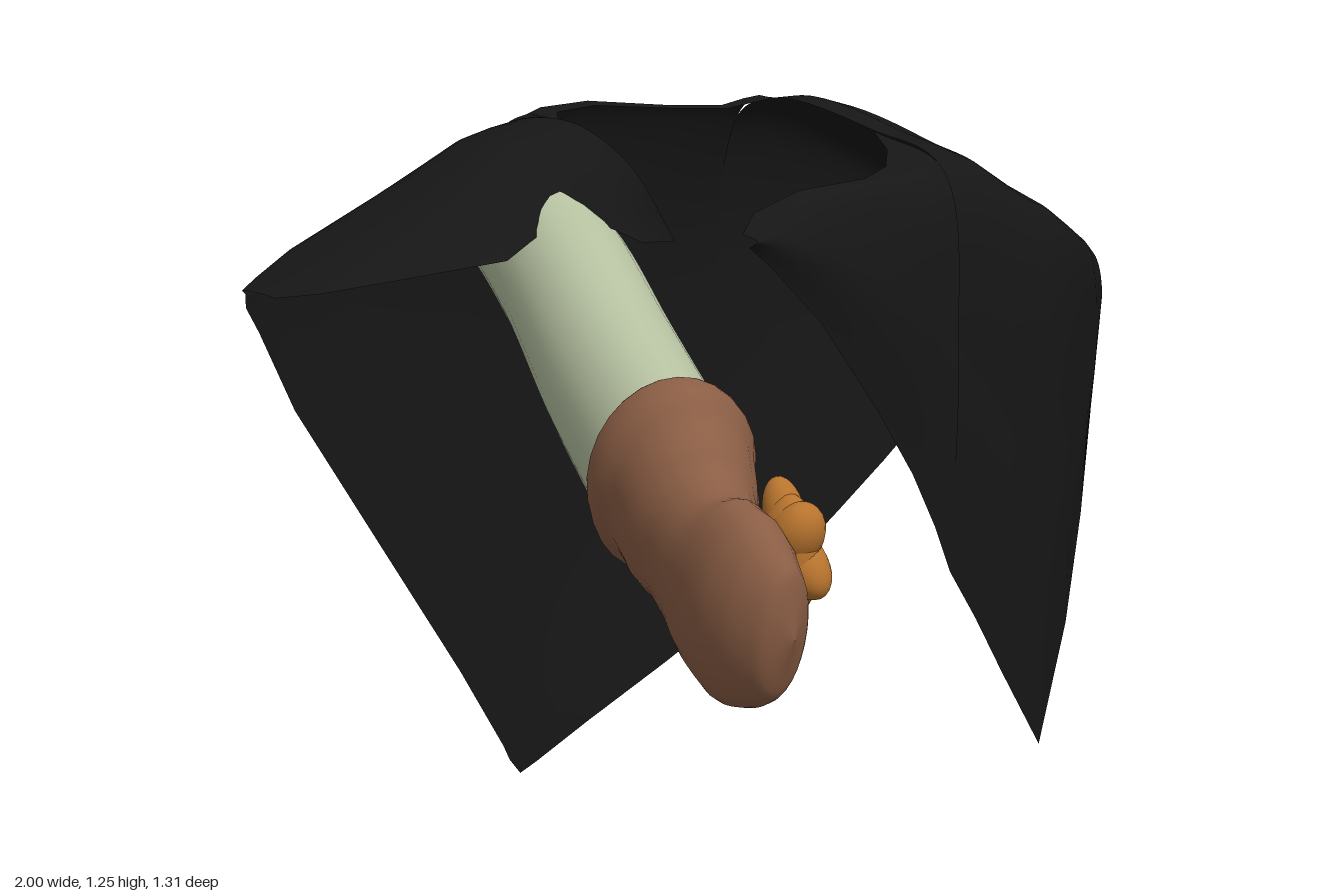
import * as THREE from 'three';

const V = (x, y, z) => new THREE.Vector3(x, y, z);
const lerp = THREE.MathUtils.lerp;
const material = (color) => new THREE.MeshStandardMaterial({ color, side: THREE.DoubleSide });
const cloth = material(0x161616);
const sleeve = material(0xb5c0a0);
const leather = material(0x8b5e45);
const orange = material(0xb8742e);

// Skin a list of equally long point rows; closed rows wrap round into tubes.
function skin(rows, closed) {
  const n = rows[0].length, index = [];
  for (let i = 0; i < rows.length - 1; i++) {
    for (let j = 0; j < (closed ? n : n - 1); j++) {
      const k = (j + 1) % n;
      const a = i * n + j, b = a + n, c = i * n + k, d = c + n;
      index.push(a, b, c, b, d, c);
    }
  }
  const g = new THREE.BufferGeometry().setFromPoints(rows.flat());
  g.setIndex(index);
  g.computeVertexNormals();
  return g;
}

function add(parent, name, geometry, mat) {
  const m = new THREE.Mesh(geometry, mat);
  m.name = name;
  parent.add(m);
  return m;
}

// Cloth from stations along x; the rule turns each into a [y, z] section
function drape(stations, rule) {
  return skin(stations.map((s) => {
    const pts = rule(...s).map(([y, z]) => V(s[0], y, z));
    return new THREE.CatmullRomCurve3(pts).getPoints((pts.length - 1) * 8);
  }), false);
}

// Rear face of the cloth, from the hem to just below the ridge; it pinches at the shoulder folds
function rearFace(x, hem, top) {
  const h = top - hem;
  const z = lerp(-0.49, -0.555, Math.sqrt(Math.min(1, h / 0.25)));
  const bulge = Math.min(1, h / 0.9) * (0.055 + 0.045 * Math.min(x, 0.25));
  return [
    [hem, z],
    [hem + 0.4 * h, z - bulge * 0.85],
    [hem + 0.78 * h, z - bulge],
    [top - 0.04 * h, z - 0.01],
  ];
}

// Over the shoulder and down to the front hem
function shoulderSection(x, hem, top, frontHem, frontZ) {
  const g = top - frontHem;
  return [
    ...rearFace(x, hem, top),
    [top, -0.46],
    [top - 0.05 * g, lerp(-0.46, frontZ, 0.56)],
    [top - 0.12 * g, lerp(-0.46, frontZ, 0.95)],
    [top - 0.57 * g, frontZ + 0.015],
    [frontHem, frontZ],
  ];
}

// Over the ridge to a free rim
function backSection(x, hem, top, rimY, rimZ) {
  const ridgeZ = lerp(-0.55, rimZ, 0.4);
  return [
    ...rearFace(x, hem, top),
    [top, ridgeZ],
    [lerp(top, rimY, 0.35), lerp(ridgeZ, rimZ, 0.6)],
    [rimY, rimZ],
  ];
}

// From the neck edge over the collar fold to the hem
function frontSection(x, rim, rimZ, hem, hemZ) {
  return [
    [rim, rimZ],
    [lerp(rim, hem, 0.08), hemZ - 0.015],
    [lerp(rim, hem, 0.5), hemZ + 0.02],
    [hem, hemZ],
  ];
}

// Limb from rings: [x, y, z, half width, half height]
function limb(rings, steps = 40, sides = 28) {
  const path = new THREE.CatmullRomCurve3(rings.map((r) => V(r[0], r[1], r[2])));
  const size = new THREE.CatmullRomCurve3(rings.map((r) => V(r[3], r[4], 0)));
  const rows = [];
  for (let i = 0; i <= steps; i++) {
    const c = path.getPoint(i / steps), s = size.getPoint(i / steps);
    const d = path.getTangent(i / steps);
    const side = d.clone().cross(V(0, 1, 0)).normalize();
    const up = side.clone().cross(d);
    rows.push(Array.from({ length: sides }, (_, j) => {
      const a = (j / sides) * Math.PI * 2;
      return c.clone().addScaledVector(side, Math.cos(a) * s.x).addScaledVector(up, Math.sin(a) * s.y);
    }));
  }
  return skin(rows, true);
}

export function createModel() {
  const model = new THREE.Group();
  const cape = new THREE.Group();
  cape.name = 'cape';
  const arm = new THREE.Group();
  arm.name = 'arm';
  model.add(cape, arm);

  // Left shoulder: [x, back hem, ridge, front hem, front z]
  add(cape, 'leftShoulderDrape', drape([
    [0.21, 0.24, 1.23, 0.38, 0],
    [0.28, 0.27, 1.23, 0.28, 0],
    [0.36, 0.31, 1.21, 0.16, -0.005],
    [0.47, 0.38, 1.16, 0, -0.01],
    [0.6, 0.465, 1.09, 0.21, -0.06],
    [0.72, 0.55, 1.02, 0.4, -0.13],
    [0.83, 0.64, 0.96, 0.575, -0.205],
    [0.93, 0.73, 0.9, 0.73, -0.28],
    [0.98, 0.785, 0.872, 0.8, -0.33],
    [1, 0.83, 0.86, 0.84, -0.37],
  ], shoulderSection), cloth);

  // Back panel with the flap over the right shoulder: [x, hem, ridge, rim y, rim z]
  add(cape, 'backPanel', drape([
    [-1, 0.95, 0.98, 0.975, -0.43],
    [-0.96, 0.9, 0.997, 0.985, -0.36],
    [-0.87, 0.75, 1.04, 1.005, -0.28],
    [-0.68, 0.47, 1.13, 1.03, -0.2],
    [-0.51, 0.22, 1.215, 1.1, -0.23],
    [-0.46, 0.14, 1.23, 1.05, -0.1],
    [-0.41, 0.06, 1.24, 1.05, -0.07],
    [-0.395, 0.03, 1.24, 1.22, -0.37],
    [-0.37, 0, 1.24, 1.235, -0.42],
    [-0.33, 0.015, 1.245, 1.24, -0.47],
    [-0.2, 0.07, 1.247, 1.24, -0.515],
    [0, 0.15, 1.225, 1.22, -0.525],
    [0.14, 0.21, 1.215, 1.21, -0.52],
    [0.19, 0.23, 1.225, 1.22, -0.5],
    [0.21, 0.24, 1.23, 1.23, -0.46],
  ], backSection), cloth);

  // Front panel with its slanting open hem: [x, rim y, rim z, hem, hem z]
  add(cape, 'frontPanel', drape([
    [-0.3, 1.06, -0.015, 1.035, 0],
    [-0.26, 1.09, -0.03, 1, 0.01],
    [-0.15, 1.12, -0.03, 0.89, 0.025],
    [0, 1.13, -0.015, 0.71, 0.02],
    [0.1, 1.14, -0.06, 0.58, 0.01],
    [0.17, 1.16, -0.125, 0.47, 0],
    [0.21, 1.187, -0.202, 0.38, 0],
  ], frontSection), cloth);

  // Sleeve reaching forward, its root passing through the back panel
  add(arm, 'sleeve', limb([
    [-0.395, 1.06, -0.64, 0, 0],
    [-0.397, 1.06, -0.635, 0.066, 0.08],
    [-0.42, 1.065, -0.58, 0.078, 0.095],
    [-0.455, 1.07, -0.45, 0.1, 0.12],
    [-0.51, 0.98, -0.25, 0.115, 0.135],
    [-0.6, 0.84, -0.02, 0.12, 0.15],
    [-0.69, 0.705, 0.22, 0.12, 0.158],
  ]), sleeve);

  // Glove: flared cuff, creased wrist and flattened fist
  add(arm, 'glove', limb([
    [-0.67, 0.73, 0.18, 0.11, 0.14],
    [-0.675, 0.722, 0.195, 0.138, 0.17],
    [-0.69, 0.71, 0.225, 0.142, 0.185],
    [-0.705, 0.69, 0.26, 0.126, 0.165],
    [-0.73, 0.655, 0.31, 0.115, 0.155],
    [-0.75, 0.63, 0.355, 0.1, 0.14],
    [-0.77, 0.605, 0.4, 0.093, 0.142],
    [-0.79, 0.58, 0.45, 0.087, 0.165],
    [-0.81, 0.56, 0.51, 0.085, 0.168],
    [-0.82, 0.545, 0.57, 0.075, 0.148],
    [-0.825, 0.535, 0.625, 0.05, 0.105],
    [-0.825, 0.53, 0.65, 0, 0],
  ], 72), leather);

  // Twisted knot on the glove: overlapping leaf-shaped folds
  const knot = new THREE.Group();
  knot.name = 'knot';
  knot.position.set(-0.745, 0.64, 0.555);
  arm.add(knot);
  [
    [0, 0, 0, 0.046, 0.1, 0.055, 0],
    [0, 0.035, 0.015, 0.046, 0.06, 0.045, 0.6],
    [0.005, 0.06, -0.015, 0.034, 0.065, 0.035, -0.3],
    [0.01, -0.01, 0.015, 0.042, 0.07, 0.042, -0.8],
    [0.005, -0.06, -0.015, 0.036, 0.065, 0.036, -0.35],
    [0, 0.005, -0.025, 0.042, 0.06, 0.04, 0.7],
  ].forEach(([x, y, z, sx, sy, sz, tilt]) => {
    const fold = add(knot, 'knotFold', new THREE.SphereGeometry(1, 20, 14), orange);
    fold.position.set(x, y, z);
    fold.scale.set(sx, sy, sz);
    fold.rotation.x = tilt;
  });

  return model;
}
